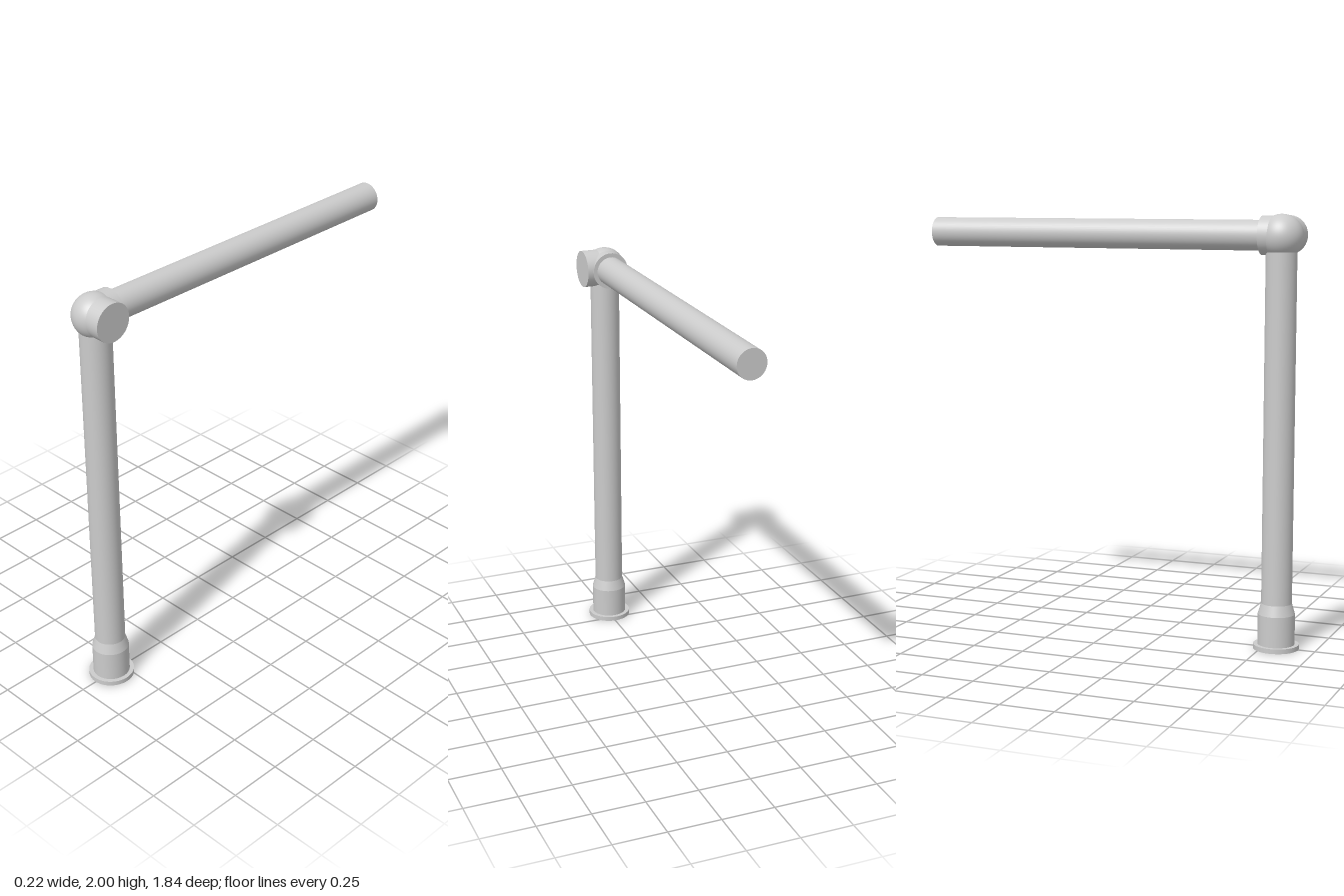
import * as THREE from 'three';

const material = new THREE.MeshStandardMaterial({ color: 0xcccccc });
const SIDES = 48;
const X = -0.005, Z = 0.815, JOINT_Y = 1.903; // post axis and height of the elbow

export function createModel() {
  const group = new THREE.Group();

  function add(name, geometry, x, y, z) {
    const mesh = new THREE.Mesh(geometry, material);
    mesh.name = name;
    mesh.position.set(x, y, z);
    group.add(mesh);
    return mesh;
  }
  const cylinder = (r, length, rBottom = r) => new THREE.CylinderGeometry(r, rBottom, length, SIDES);

  // Foot: flat flange, sleeve and its taper into the post
  add('baseFlange', cylinder(0.106, 0.022), X, 0.011, Z);
  add('baseSleeve', cylinder(0.086, 0.145), X, 0.0925, Z);
  add('sleeveTaper', cylinder(0.071, 0.05, 0.086), X, 0.19, Z);

  // Upright tube
  add('post', cylinder(0.071, 1.66), X, 1.03, Z);

  // Ball elbow with one socket to the side and one to the back
  add('elbowBall', new THREE.SphereGeometry(0.1, SIDES, 32), X, 1.9, Z);
  add('sideSocket', cylinder(0.089, 0.111 - X), (X + 0.111) / 2, JOINT_Y, Z).rotation.z = -Math.PI / 2;
  add('backSocket', cylinder(0.089, Z - 0.725), X, JOINT_Y, (Z + 0.725) / 2).rotation.x = -Math.PI / 2;

  // Horizontal tube running back from the elbow
  const armEnd = -0.92;
  add('arm', cylinder(0.069, Z - armEnd), X, JOINT_Y, (Z + armEnd) / 2).rotation.x = -Math.PI / 2;

  return group;
}
